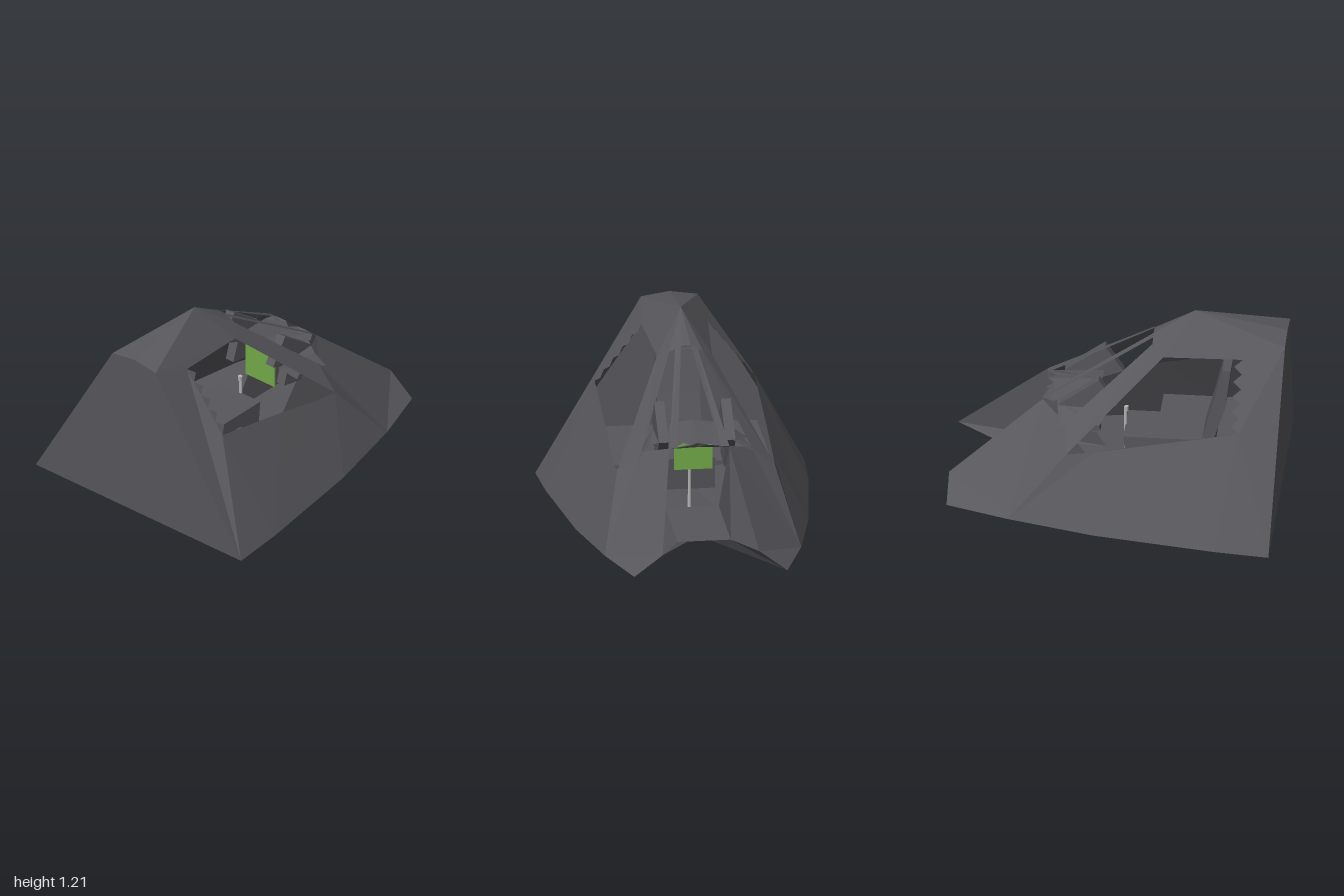
import * as THREE from 'three';

const mat = (name, color) => {
  const m = new THREE.MeshStandardMaterial({ color, side: THREE.DoubleSide, flatShading: true });
  m.name = name;
  return m;
};

export function createModel() {
  const model = new THREE.Group();
  const hull = mat('dark grey hull', 0x58575c);
  const green = mat('green screen', 0x72a848);
  const steel = mat('light steel', 0xb4b4b4);

  const add = (name, geo, material = hull) => {
    const m = new THREE.Mesh(geo, material);
    m.name = name;
    model.add(m);
    return m;
  };
  // Flat panels from corner loops; optionally mirrored across z with reversed order
  const panels = (name, loops, mirror = true) => {
    const pos = [];
    const fan = (l) => {
      for (let i = 1; i < l.length - 1; i++) pos.push(...l[0], ...l[i], ...l[i + 1]);
    };
    for (const l of loops) {
      fan(l);
      if (mirror) fan(l.map(([x, y, z]) => [x, y, -z]).reverse());
    }
    const g = new THREE.BufferGeometry();
    g.setAttribute('position', new THREE.Float32BufferAttribute(pos, 3));
    g.computeVertexNormals();
    return add(name, g);
  };
  // Side profile in x,y swept across z
  const sweep = (name, pts, z0, z1) => {
    const s = new THREE.Shape(pts.map((p) => new THREE.Vector2(...p)));
    const g = new THREE.ExtrudeGeometry(s, { depth: z1 - z0, bevelEnabled: false });
    return add(name, g.translate(0, 0, z0));
  };

  // Hull corners on the +z half
  const A = [-0.96, 0, 0.81], A2 = [-0.63, 0.01, 0.79], A3 = [0.1, 0.03, 0.7];
  const S = [0.62, 0.05, 0.59], T0 = [1, 0.05, 0.46], T1 = [1, 0.18, 0.29];
  const W1 = [-0.75, 0.65, 0.48], W2 = [-0.22, 0.55, 0.48], W3 = [0.12, 0.475, 0.48], W4 = [0.28, 0.45, 0.475];
  const U1 = [-0.75, 1, 0.2], U2 = [-0.27, 0.97, 0.165];
  const B = [-1, 1.08, 0.17], C = [-1, 1.105, 0], P = [-0.45, 1.21, 0], D = [-0.96, 0, 0];
  const F0 = [-0.2, 1.055, 0.03], F1 = [-0.2, 1.02, 0.1], F2 = [-0.2, 1.045, 0.065];
  const Q = [0.3, 0.58, 0.33], N = [0.45, 0.65, 0.18], N2 = [0.45, 0.65, 0.13];
  const V = [0.4, 0.07, 0], K = [0.68, 0.14, 0.16], K0 = [0.1, 0.14, 0.16];
  const flip = ([x, y, z]) => [x, y, -z];

  panels('lowerSides', [[A, A2, W1], [A2, A3, W3, W2, W1], [A3, S, W4, W3]]);
  panels('rearPillars', [[A, W1, U1, B]]);
  panels('roof', [[B, U1, U2, P], [C, B, P], [U2, F1, P], [P, F1, F0]]);
  panels('roofTip', [[P, F0, flip(F0)]], false);
  panels('windowPosts', [[U2, W4, Q, F1], [W4, S, Q]]);
  panels('noseProngs', [[Q, S, T1, N], [S, T0, T1]]);
  panels('canopyStrips', [[F0, F2, N, N2]]);
  panels('backWall', [[D, A, B, C]]);
  panels('underside', [[V, T0, S, A3, A2, A, D]]);
  panels('noseNotch', [[V, K, T1, T0]]);
  panels('notchLip', [[V, flip(K), K]], false);
  panels('noseInnerWalls', [[T1, K, K0, N]]);
  panels('noseFloor', [[K, flip(K), flip(K0), K0]], false);

  // Saw teeth along the rear window edge
  const teeth = [];
  const edge = (t) => W1.map((v, i) => v + (U1[i] - v) * t);
  for (let i = 0; i < 5; i++) {
    const tip = edge((i + 0.5) / 5);
    tip[0] += 0.05;
    teeth.push([edge(i / 5), tip, edge((i + 1) / 5)]);
  }
  panels('windowTeeth', teeth);

  // Cabin floor, seat and control stick
  add('cabinDeck', new THREE.BoxGeometry(0.66, 0.02, 1.02).translate(-0.54, 0.3, 0));
  sweep('seatBack', [[-0.67, 0.87], [-0.62, 0.875], [-0.56, 0.62], [-0.5, 0.4], [-0.57, 0.4], [-0.64, 0.62]], -0.13, 0.13);
  sweep('seatBase', [[-0.57, 0.2], [-0.05, 0.2], [-0.03, 0.4], [-0.57, 0.4]], -0.155, 0.155);
  add('controlStick', new THREE.CylinderGeometry(0.009, 0.011, 0.49, 10).translate(-0.03, 0.265, 0), steel);
  add('stickGrip', new THREE.CylinderGeometry(0.014, 0.012, 0.03, 10).translate(-0.035, 0.505, 0), steel);

  // Dashboard: screen, flaps and glare shield
  add('screen', new THREE.BoxGeometry(0.008, 0.22, 0.23).translate(0.15, 0.51, 0), green);
  for (const s of [1, -1]) {
    const z = s > 0 ? 0.17 : -0.23;
    sweep('dashFlap', [[0, 0.66], [0.11, 0.825], [0.35, 0.65], [0.3, 0.59], [0.14, 0.605]], z, z + 0.06);
    sweep('dashBracket', [[0.14, 0.605], [0.3, 0.59], [0.26, 0.45], [0.1, 0.48]], z, z + 0.06);
  }
  panels('sideHoods', [[[0.05, 0.63, 0.23], [0.1, 0.57, 0.33], [0.2, 0.6, 0.3], [0.34, 0.56, 0.35], [0.32, 0.63, 0.28], [0.36, 0.66, 0.2]]]);
  panels('glareShield', [
    [[0.11, 0.7, 0], [0.11, 0.68, 0.14], [0.4, 0.64, 0.18], [0.45, 0.65, 0.15], [0.39, 0.66, 0.09], [0.44, 0.66, 0.05], [0.4, 0.66, 0]],
    [[0.4, 0.66, 0], [0.44, 0.66, 0.05], [0.45, 0.65, 0.15], [0.38, 0.62, 0.17], [0.38, 0.625, 0]],
  ]);
  return model;
}
